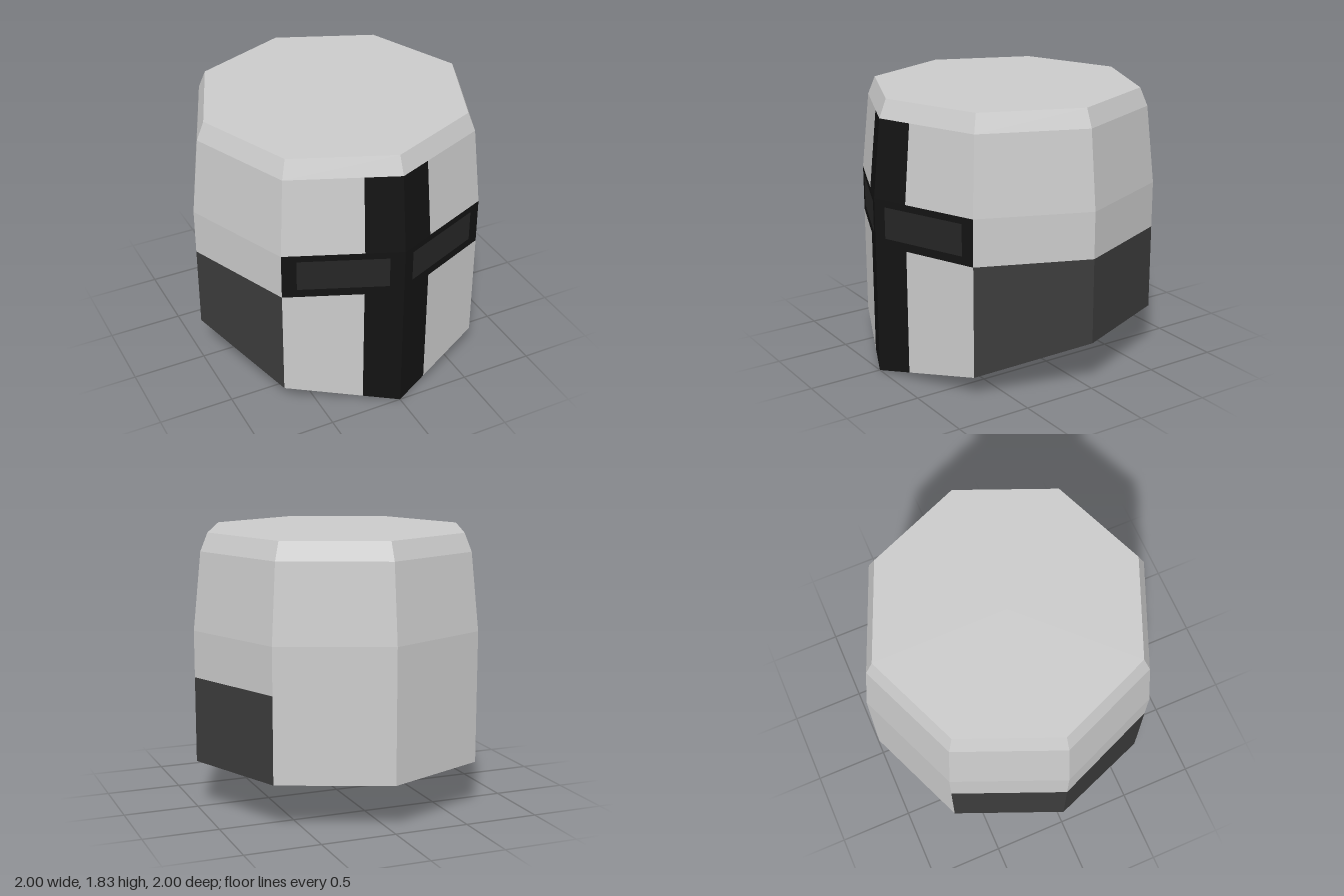
import * as THREE from 'three';

// Heights of the rings around the shell and the radius at each bend
const LOW = 0.885, MID = 1.195, SHOULDER = 1.71, TOP = 1.83;
const PROFILE = [[MID, 1], [SHOULDER, 0.945], [TOP, 0.895]];
// Height of the lower rim at each corner, from the front point to the back
const RIM = [0, 0.145, 0.315, 0.315, 0.315];

function radiusAt(y) {
  if (y <= MID) return 1;
  const i = y <= SHOULDER ? 0 : 1;
  const [y0, r0] = PROFILE[i], [y1, r1] = PROFILE[i + 1];
  return THREE.MathUtils.mapLinear(y, y0, y1, r0, r1);
}

// Point on wall 'face' (0 = front, 3 = back) of one side; y = null means the rim
function wallPoint(side, face, u, y) {
  const h = y === null ? THREE.MathUtils.lerp(RIM[face], RIM[face + 1], u) : y;
  const a = face * Math.PI / 4, b = a + Math.PI / 4, r = radiusAt(h);
  return [
    side * r * THREE.MathUtils.lerp(Math.sin(a), Math.sin(b), u),
    h,
    r * THREE.MathUtils.lerp(Math.cos(a), Math.cos(b), u),
  ];
}

// One mesh from panels given as [face, u0, u1, y0, y1]; wound to face outward
function panels(name, color, sides, list) {
  const pos = [];
  for (const side of sides) {
    for (const [face, u0, u1, y0, y1] of list) {
      const [l, r] = side > 0 ? [u0, u1] : [u1, u0];
      const p = (u, y) => wallPoint(side, face, u, y);
      const a = p(l, y0), b = p(r, y0), c = p(r, y1), d = p(l, y1);
      pos.push(...a, ...b, ...c, ...a, ...c, ...d);
    }
  }
  const geo = new THREE.BufferGeometry();
  geo.setAttribute('position', new THREE.Float32BufferAttribute(pos, 3));
  geo.computeVertexNormals();
  return makeMesh(name, geo, color);
}

function makeMesh(name, geo, color) {
  const mat = new THREE.MeshStandardMaterial({ color, flatShading: true, side: THREE.DoubleSide });
  const mesh = new THREE.Mesh(geo, mat);
  mesh.name = name;
  return mesh;
}

export function createModel() {
  const group = new THREE.Group();
  group.name = 'helmet';
  const GREY = 0xcccccc, DARK = 0x3c3c3c, BLACK = 0x131313, SLIT = 0x262626;
  const both = [1, -1];
  const bar = 0.325; // half width of the upright bar along a front wall

  // Plain steel walls: cheeks and brow at the front, upper sides, full back
  const steel = [[0, bar, 1, null, LOW], [0, bar, 1, MID, SHOULDER], [3, 0, 1, null, LOW]];
  for (const face of [1, 2, 3]) {
    steel.push([face, 0, 1, LOW, MID], [face, 0, 1, MID, SHOULDER]);
  }
  group.add(panels('steelWalls', GREY, both, steel));

  // Sloping crown edge and flat top
  group.add(panels('crownBevel', GREY, both, [0, 1, 2, 3].map((f) => [f, 0, 1, SHOULDER, TOP])));
  const top = new THREE.CircleGeometry(radiusAt(TOP), 8).rotateX(-Math.PI / 2);
  top.translate(0, TOP, 0);
  group.add(makeMesh('crownTop', top, GREY));

  // Dark lower side panels
  group.add(panels('lowerSidePanels', DARK, both, [[1, 0, 1, null, LOW], [2, 0, 1, null, LOW]]));

  // Upright black bar above and below the visor
  group.add(panels('crossBar', BLACK, both, [[0, 0, bar, null, LOW], [0, 0, bar, MID, SHOULDER]]));

  // Visor band framing an eye slit on each side
  const y0 = 0.94, y1 = 1.15;
  for (const side of both) {
    const [u0, u1] = side > 0 ? [0.106, 0.89] : [0.12, 0.877];
    const label = side > 0 ? 'left' : 'right';
    group.add(panels(label + 'VisorBand', BLACK, [side], [
      [0, 0, 1, LOW, y0], [0, 0, 1, y1, MID], [0, 0, u0, y0, y1], [0, u1, 1, y0, y1],
    ]));
    group.add(panels(label + 'EyeSlit', SLIT, [side], [[0, u0, u1, y0, y1]]));
  }
  return group;
}
